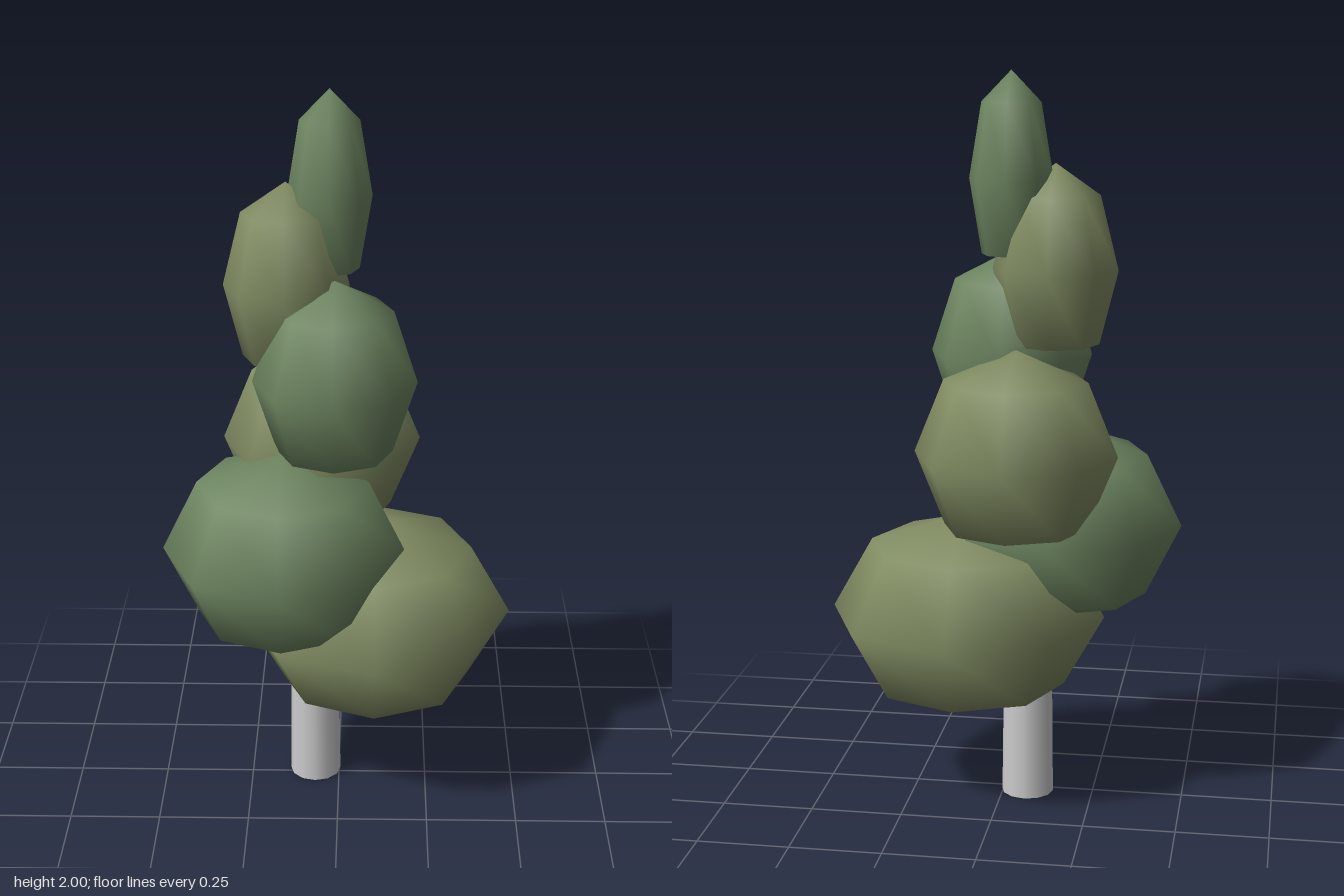
import * as THREE from 'three';

export function createModel() {
  const tree = new THREE.Group();
  tree.name = 'tree';

  const mat = (color) => new THREE.MeshStandardMaterial({ color, side: THREE.DoubleSide });
  const olive = mat(0x808c62);
  const green = mat(0x6d8560);

  // Trunk: open, slightly tapered tube, most of it hidden by the foliage
  const height = 1.2;
  const trunk = new THREE.Mesh(
    new THREE.CylinderGeometry(0.057, 0.072, height, 12, 1, true),
    mat(0xcccccc)
  );
  trunk.name = 'trunk';
  trunk.position.set(-0.068, height / 2, -0.02);
  tree.add(trunk);

  // Foliage: eight-sided domes, open underneath, spiralling up the trunk
  const dome = new THREE.SphereGeometry(1, 8, 3, 0, Math.PI * 2, 0, Math.PI * 0.75);
  const halfHeight = 0.28;
  const step = 0.24;
  const clumps = [ // x, z, radius
    [0.1, -0.025, 0.38],
    [-0.15, 0.08, 0.33],
    [-0.05, -0.14, 0.273],
    [-0.01, 0.055, 0.22],
    [-0.14, -0.033, 0.168],
    [-0.025, -0.053, 0.112],
  ];
  clumps.forEach(([x, z, r], i) => {
    const clump = new THREE.Mesh(dome, i % 2 ? green : olive);
    clump.name = `foliage${i + 1}`;
    clump.position.set(x, 0.52 + i * step, z);
    clump.scale.set(r, halfHeight, r);
    tree.add(clump);
  });

  return tree;
}
